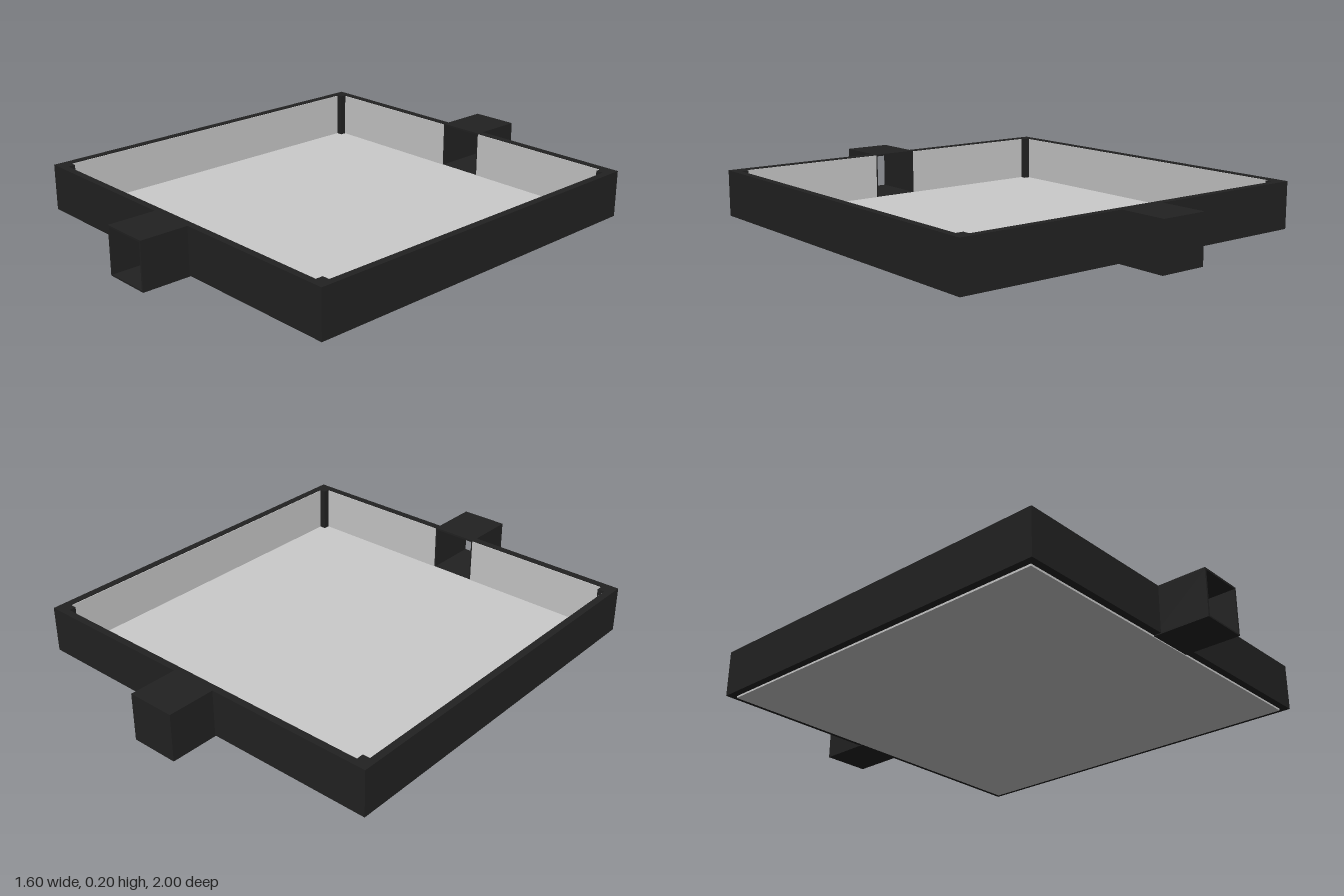
import * as THREE from 'three';

const dark = new THREE.MeshStandardMaterial({ color: 0x222222 });
const grey = new THREE.MeshStandardMaterial({ color: 0xcccccc });

// Box given by its min and max corners
function block(name, material, [x0, y0, z0], [x1, y1, z1]) {
  const geometry = new THREE.BoxGeometry(x1 - x0, y1 - y0, z1 - z0);
  const mesh = new THREE.Mesh(geometry, material);
  mesh.position.set((x0 + x1) / 2, (y0 + y1) / 2, (z0 + z1) / 2);
  mesh.name = name;
  return mesh;
}

const OUT = 0.8;    // outer half width of the tray
const IN = 0.77;    // inner half width of the tray
const BASE = 0.008; // thickness of the floor, walls sit above it
const TOP = 0.2;
const GAP = 0.1;    // half width of the tunnels
const END = 1;
const SKIN = 0.008; // tunnel wall thickness
const LINING = 0.003;

// Square tunnel leading out through a wall, built towards +z
function tunnel(name, closed) {
  const group = new THREE.Group();
  group.name = name;
  group.add(
    block('tunnelRoof', dark, [-GAP, TOP - SKIN, IN], [GAP, TOP, END]),
    block('tunnelFloor', dark, [-GAP, BASE - 0.004, IN], [GAP, BASE + 0.002, END]),
    block('tunnelLeftSide', dark, [GAP - SKIN, BASE, IN], [GAP, TOP - SKIN, END]),
    block('tunnelRightSide', dark, [-GAP, BASE, IN], [-GAP + SKIN, TOP - SKIN, END])
  );
  if (closed) {
    group.add(block('tunnelEnd', dark,
      [-GAP + SKIN, BASE, END - SKIN], [GAP - SKIN, TOP - SKIN, END]));
  }
  return group;
}

export function createModel() {
  const model = new THREE.Group();
  model.name = 'tray';

  // Floor panel, slightly lower than the walls
  model.add(block('floor', grey, [-IN, 0, -IN], [IN, BASE, IN]));

  for (const s of [-1, 1]) {
    // Unbroken side walls with their pale lining
    const side = new THREE.Group();
    side.name = s > 0 ? 'leftWall' : 'rightWall';
    side.add(
      block('wallPanel', dark, [IN, BASE, -OUT], [OUT, TOP, OUT]),
      block('wallLining', grey, [IN - LINING, BASE, -IN], [IN, TOP - 0.003, IN])
    );
    side.rotation.y = s > 0 ? 0 : Math.PI;
    model.add(side);

    // Front and back walls, split by the tunnel opening
    const end = new THREE.Group();
    end.name = s > 0 ? 'frontWall' : 'backWall';
    for (const [x0, x1] of [[-IN, -GAP], [GAP, IN]]) {
      end.add(
        block('wallPanel', dark, [x0, BASE, IN], [x1, TOP, OUT]),
        block('wallLining', grey, [x0, BASE, IN - LINING], [x1, TOP - 0.003, IN])
      );
    }
    // The front tunnel is open, the back one is closed
    end.add(tunnel(s > 0 ? 'frontTunnel' : 'backTunnel', s < 0));
    end.rotation.y = s > 0 ? 0 : Math.PI;
    model.add(end);

    // Corner posts inside the walls
    for (const t of [-1, 1]) {
      const post = block('cornerPost', dark, [-0.015, BASE, -0.015], [0.015, TOP, 0.015]);
      post.position.x = s * (IN - 0.015);
      post.position.z = t * (IN - 0.015);
      model.add(post);
    }
  }
  return model;
}
